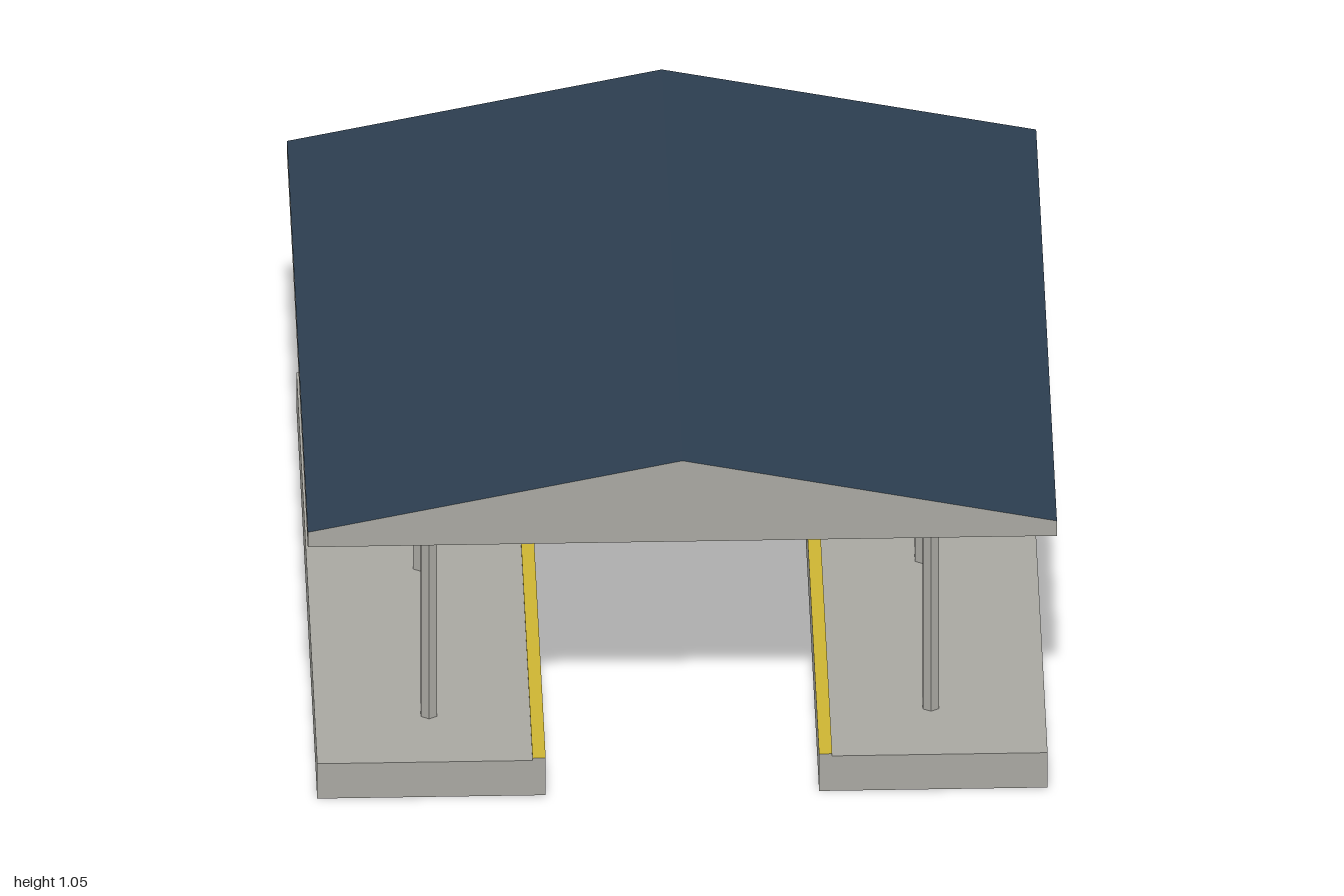
import * as THREE from 'three';

const DEPTH = 1.95;

export function createModel() {
  const concrete = new THREE.MeshStandardMaterial({ color: 0xa8a7a1 });
  concrete.name = 'concrete grey';
  const roofBlue = new THREE.MeshStandardMaterial({ color: 0x2c3e50 });
  roofBlue.name = 'roof blue';
  const safetyYellow = new THREE.MeshStandardMaterial({ color: 0xccb433 });
  safetyYellow.name = 'safety yellow';

  const model = new THREE.Group();
  model.name = 'stationShelter';

  const add = (parent, name, geometry, material, x, y, z) => {
    const mesh = new THREE.Mesh(geometry, material);
    mesh.name = name;
    mesh.position.set(x, y, z);
    parent.add(mesh);
    return mesh;
  };

  // Gabled roof: grey ends, eaves and soffit, blue slopes on top
  const profile = new THREE.Shape([
    [-1, 0.795], [1, 0.795], [1, 0.842], [0, 1.05], [-1, 0.842],
  ].map(([x, y]) => new THREE.Vector2(x, y)));
  const roof = new THREE.ExtrudeGeometry(profile, { depth: DEPTH, bevelEnabled: false });
  roof.clearGroups();
  const normals = roof.attributes.normal;
  for (let i = 0; i < normals.count; i += 3) {
    roof.addGroup(i, 3, normals.getY(i) > 0.5 ? 1 : 0);
  }
  add(model, 'roof', roof, [concrete, roofBlue], 0, 0, -DEPTH / 2);

  // Two mirrored platforms, each with an edge strip and three hexagonal posts
  for (const side of [1, -1]) {
    const platform = new THREE.Group();
    platform.name = side > 0 ? 'leftPlatform' : 'rightPlatform';
    model.add(platform);

    add(platform, 'platformSlab', new THREE.BoxGeometry(0.61, 0.11, DEPTH), concrete,
      side * 0.67, 0.055, 0);

    // Raised edge strip: yellow top and platform-side step, grey elsewhere
    const faces = Array(6).fill(concrete);
    faces[2] = safetyYellow;
    faces[side > 0 ? 0 : 1] = safetyYellow;
    add(platform, 'edgeStrip', new THREE.BoxGeometry(0.035, 0.007, DEPTH), faces,
      side * 0.3825, 0.1135, 0);

    for (const z of [-0.735, 0, 0.735]) {
      const post = new THREE.CylinderGeometry(0.025, 0.025, 0.685, 6, 1, true).toNonIndexed();
      post.computeVertexNormals();
      add(platform, 'post', post, concrete, side * 0.67, 0.4525, z);
    }
  }

  return model;
}
